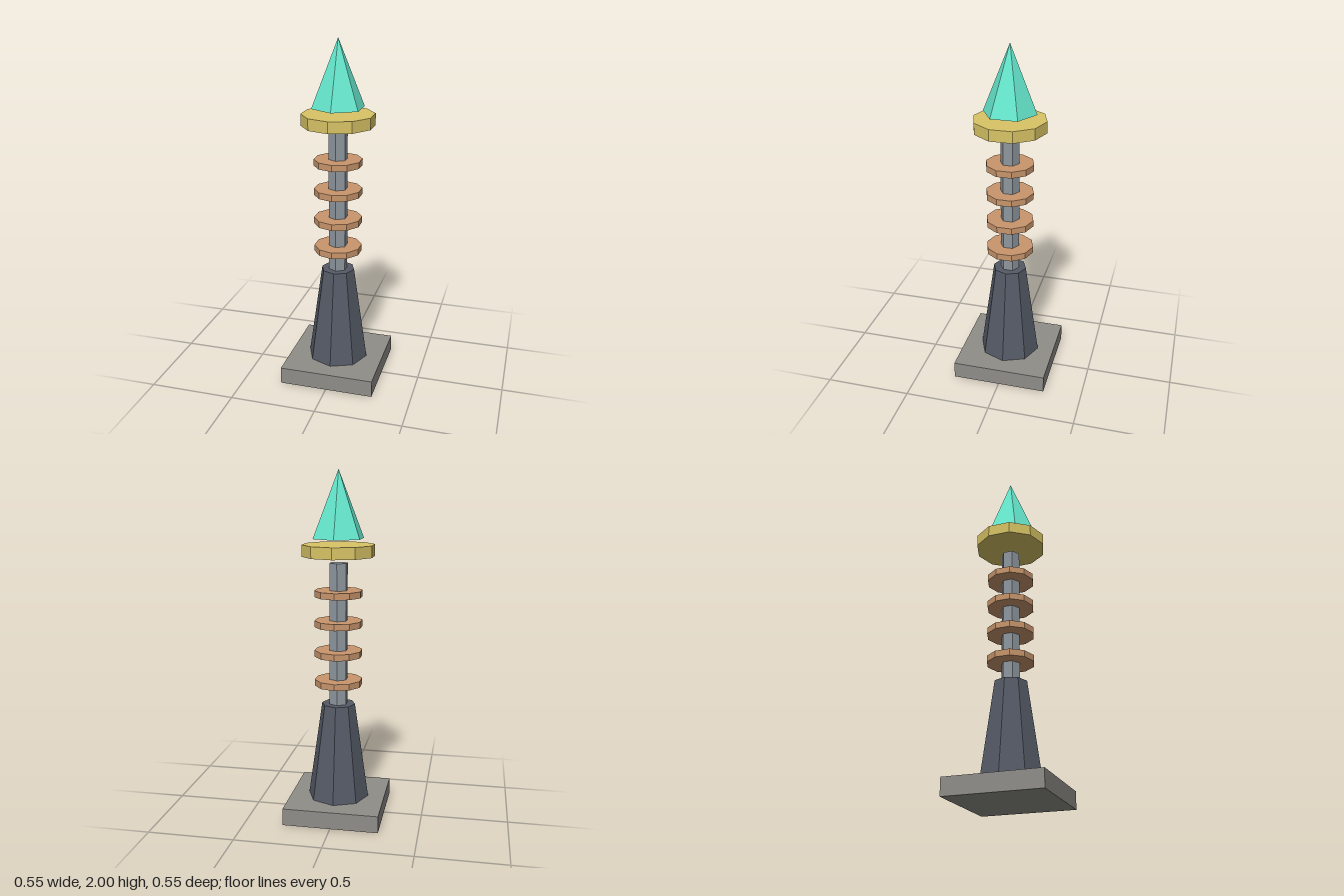
import * as THREE from 'three';

export function createModel() {
  const model = new THREE.Group();

  function add(name, geometry, color, y) {
    const material = new THREE.MeshStandardMaterial({ color, flatShading: true });
    const mesh = new THREE.Mesh(geometry, material);
    mesh.name = name;
    mesh.position.y = y;
    model.add(mesh);
    return mesh;
  }

  // Faceted column standing between two heights
  function prism(name, rTop, rBottom, y0, y1, sides, color) {
    const geometry = new THREE.CylinderGeometry(rTop, rBottom, y1 - y0, sides);
    return add(name, geometry, color, (y0 + y1) / 2);
  }

  // Square plinth and tapered octagonal pedestal
  add('basePlate', new THREE.BoxGeometry(0.552, 0.1, 0.552), 0x8f8d88, 0.05);
  prism('pedestal', 0.097, 0.179, 0.1, 0.667, 8, 0x555a66);

  // Hexagonal rod carrying four evenly spaced rings
  prism('rod', 0.055, 0.055, 0.667, 1.487, 6, 0x8e979f);
  for (let i = 0; i < 4; i++) {
    const y = 0.797 + i * 0.1725;
    prism(`ring${i + 1}`, 0.138, 0.138, y - 0.0185, y + 0.0185, 10, 0xc8956c);
  }

  // Floating collar and crystal tip
  prism('collar', 0.207, 0.207, 1.524, 1.59, 10, 0xd8c465);
  const tip = new THREE.ConeGeometry(0.152, 0.377, 6);
  add('crystalTip', tip, 0x66e6cc, 1.8115);

  return model;
}
